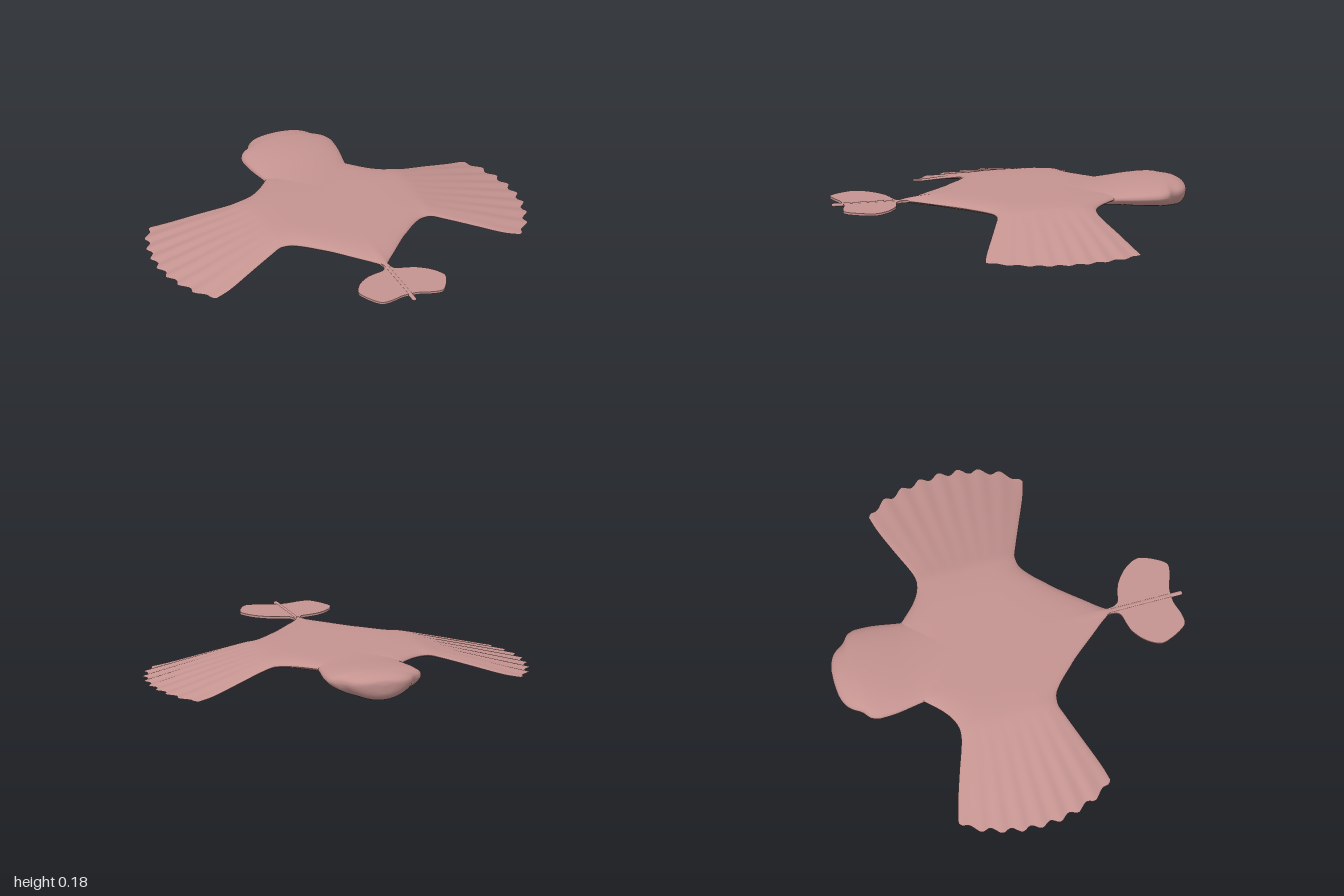
import * as THREE from 'three';

// Smooth interpolation of table rows: the first entry is the key, the rest are values
function sample(table, k) {
  let i = 0;
  while (i < table.length - 2 && k > table[i + 1][0]) i++;
  const a = table[i], b = table[i + 1];
  const p = table[i - 1] ?? a, n = table[i + 2] ?? b;
  const h = b[0] - a[0], t = (k - a[0]) / h;
  const slope = (q, r, c) => (r[c] - q[c]) / (r[0] - q[0]);
  return a.map((_, c) => {
    const d = slope(a, b, c);
    const limit = (m) => (m * d <= 0 ? 0 : Math.sign(d) * Math.min(Math.abs(m), 3 * Math.abs(d)));
    const m0 = limit(slope(p, b, c)) * h, m1 = limit(slope(a, n, c)) * h;
    const t2 = t * t, t3 = t2 * t;
    return (2 * t3 - 3 * t2 + 1) * a[c] + (t3 - 2 * t2 + t) * m0 +
      (3 * t2 - 2 * t3) * b[c] + (t3 - t2) * m1;
  });
}

// Skin of closed rings: point(u, angle) gives [x, y, z]
function skin(rings, sides, point) {
  const pos = [], idx = [];
  for (let i = 0; i <= rings; i++) {
    for (let j = 0; j < sides; j++) pos.push(...point(i / rings, (j / sides) * Math.PI * 2));
  }
  for (let i = 0; i < rings; i++) {
    for (let j = 0; j < sides; j++) {
      const a = i * sides + j, b = i * sides + (j + 1) % sides;
      idx.push(a, b, a + sides, b, b + sides, a + sides);
    }
  }
  const g = new THREE.BufferGeometry();
  g.setAttribute('position', new THREE.Float32BufferAttribute(pos, 3));
  g.setIndex(idx);
  g.computeVertexNormals();
  return g;
}

// Span station: leading z, trailing z, top, edge and bottom heights
const SPAN = [
  [0, -0.55, 0.57, 0.157, 0.125, 0.06],
  [0.02, -0.55, 0.52, 0.157, 0.125, 0.06],
  [0.1, -0.54, 0.42, 0.157, 0.125, 0.063],
  [0.2, -0.525, 0.3, 0.157, 0.125, 0.071],
  [0.24, -0.485, 0.26, 0.157, 0.125, 0.076],
  [0.3, -0.425, 0.2, 0.156, 0.124, 0.085],
  [0.36, -0.385, 0.157, 0.153, 0.123, 0.092],
  [0.42, -0.37, 0.15, 0.147, 0.12, 0.093],
  [0.5, -0.378, 0.17, 0.128, 0.104, 0.08],
  [0.7, -0.43, 0.228, 0.078, 0.061, 0.045],
  [0.9, -0.48, 0.287, 0.026, 0.017, 0.009],
  [1, -0.5, 0.31, 0.001, 0.001, 0.001],
];

// Torso and both wings, spanning from tip to tip with scalloped feather ends
function wingPoint(u, t) {
  const span = u * 2 - 1, X = Math.abs(span);
  const [, lead, trail, top, edge, low] = sample(SPAN, X);
  const s = -Math.cos(t), v = (s + 1) / 2;
  const w = Math.max(0, (X - 0.4) / 0.6);
  const lobes = Math.cos(v * 16 * Math.PI);
  const tip = 0.985 - (s < 0 ? 0.11 : 0.13) * s * s - 0.03 * s ** 20 + 0.013 * lobes * w ** 5;
  const x = X < 0.4 ? X : 0.4 + (tip - 0.4) * w;
  const upper = Math.sqrt(Math.max(0, 1 - s ** 4));
  const lower = Math.max(0, 1 - s * s) ** (1 - 0.5 * Math.min(1, X / 0.4));
  let y = t <= Math.PI ? edge + (top - edge) * upper : edge - (edge - low) * lower;
  y += 0.004 * lobes * upper * w * (1 - w ** 6);
  return [Math.sign(span) * x, Math.max(0, y), lead + (trail - lead) * v];
}

// Length station: half width, top and bottom heights
const HEAD = [
  [-0.92, 0.001, 0.12, 0.118],
  [-0.917, 0.06, 0.14, 0.08],
  [-0.9, 0.12, 0.156, 0.05],
  [-0.87, 0.16, 0.17, 0.034],
  [-0.82, 0.195, 0.178, 0.031],
  [-0.79, 0.232, 0.18, 0.036],
  [-0.74, 0.25, 0.18, 0.041],
  [-0.65, 0.246, 0.175, 0.05],
  [-0.52, 0.225, 0.163, 0.063],
  [-0.4, 0.21, 0.157, 0.065],
  [-0.2, 0.19, 0.154, 0.064],
  [0.05, 0.1, 0.145, 0.07],
];

function headPoint(u, t) {
  const z = -0.92 + 0.97 * u ** 1.5;
  const [, w, top, low] = sample(HEAD, z);
  const s = Math.sin(t), edge = Math.min(0.122, top);
  const y = s >= 0 ? edge + (top - edge) * s ** 0.8 : edge - (edge - low) * (-s) ** 1.2;
  return [w * Math.cos(t), y, z];
}

// Two-lobed tail outline, right half as (x, z)
const TAIL = [
  [0.02, 0.5], [0.018, 0.55], [0.035, 0.585], [0.09, 0.6], [0.14, 0.62], [0.2, 0.67],
  [0.238, 0.74], [0.225, 0.8], [0.19, 0.865], [0.16, 0.89], [0.11, 0.885], [0.05, 0.865], [0.012, 0.86],
];

function tailGeometry() {
  const half = new THREE.SplineCurve(TAIL.map(([x, z]) => new THREE.Vector2(x, z))).getPoints(60);
  const other = half.map((p) => new THREE.Vector2(-p.x, p.y)).reverse();
  const g = new THREE.ExtrudeGeometry(new THREE.Shape([...half, ...other]), { depth: 0.012, bevelEnabled: false });
  return g.rotateX(Math.PI / 2).translate(0, 0.131, 0);
}

export function createModel() {
  const group = new THREE.Group();
  const clay = new THREE.MeshStandardMaterial({ color: 0xc49390 });
  clay.name = 'dustyPink';
  const add = (name, geometry) => {
    const mesh = new THREE.Mesh(geometry, clay);
    mesh.name = name;
    group.add(mesh);
    return mesh;
  };

  add('torsoAndWings', skin(120, 240, wingPoint));
  add('head', skin(90, 64, headPoint));
  add('tailFan', tailGeometry());

  // Slim shaft from the rump through the tail
  const shaft = new THREE.CapsuleGeometry(0.012, 0.396, 6, 16).rotateX(Math.PI / 2).scale(1, 0.75, 1);
  add('tailShaft', shaft).position.set(0, 0.125, 0.71);

  return group;
}
